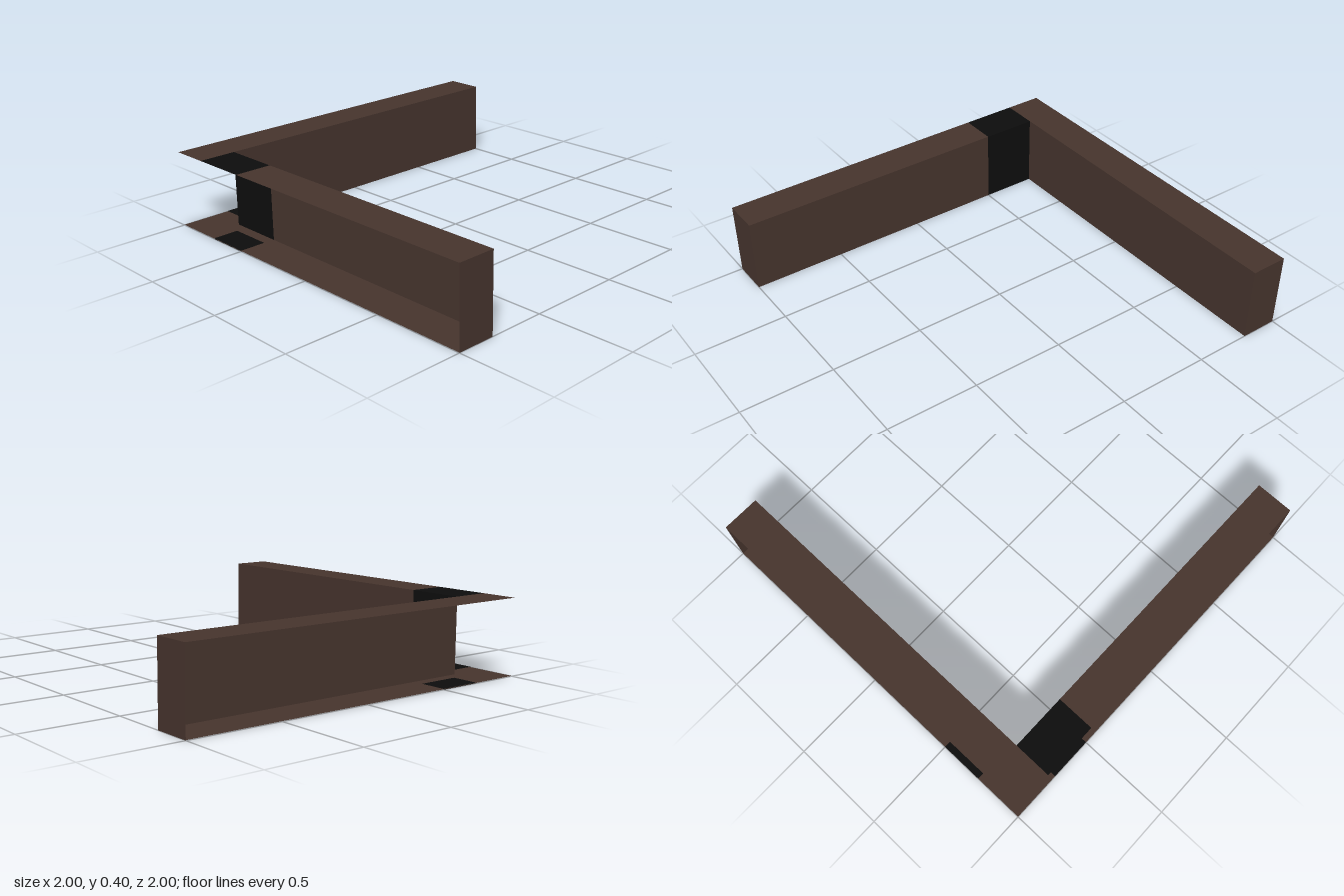
import * as THREE from 'three';

const H = 0.4, T = 0.2, SPLIT = -0.5;

export function createModel() {
  const model = new THREE.Group();
  model.name = 'cornerBeams';
  const brown = new THREE.MeshStandardMaterial({ color: 0x46342d, side: THREE.DoubleSide });
  brown.name = 'dark brown';
  const black = new THREE.MeshStandardMaterial({ color: 0x0d0d0d, side: THREE.DoubleSide });
  black.name = 'black';

  const add = (name, geo, mat, x, y, z) => {
    const m = new THREE.Mesh(geo, mat);
    m.name = name;
    m.position.set(x, y, z);
    model.add(m);
  };
  // Horizontal sheet facing up
  const sheet = (name, mat, x0, x1, z0, z1, y) =>
    add(name, new THREE.PlaneGeometry(x1 - x0, z1 - z0).rotateX(-Math.PI / 2), mat, (x0 + x1) / 2, y, (z0 + z1) / 2);
  // Upright sheets facing +z and +x
  const wallZ = (name, mat, x0, x1, z) =>
    add(name, new THREE.PlaneGeometry(x1 - x0, H), mat, (x0 + x1) / 2, H / 2, z);
  const wallX = (name, mat, z0, z1, x) =>
    add(name, new THREE.PlaneGeometry(z1 - z0, H).rotateY(Math.PI / 2), mat, x, H / 2, (z0 + z1) / 2);

  const inner = -1 + T;

  // Back beam: a channel open to the rear
  sheet('backBeamTop', brown, -1, 1, -1, inner, H);
  sheet('backBeamFloor', brown, -1, 1, -1, inner, 0.002);
  wallZ('backBeamInnerWall', brown, inner, 1, inner);
  wallX('backBeamEnd', brown, -1, inner, 1);

  // Side beam: a channel open to the outside
  sheet('sideBeamTop', brown, -1, inner, SPLIT, 1, H);
  sheet('sideBeamFloor', brown, -1, inner, inner, 1, 0.002);
  wallX('sideBeamInnerWall', brown, SPLIT, 1, inner);
  wallZ('sideBeamEnd', brown, -1, inner, 1);

  // Black joint between the beams
  sheet('jointTop', black, -1, inner, inner, SPLIT, H);
  wallX('jointInnerWall', black, inner, SPLIT, inner);

  // Black patches showing on both faces of the floor
  for (const y of [0, 0.004]) {
    sheet('backFloorPatch', black, -0.73, SPLIT, -1, -0.86, y);
    sheet('sideFloorPatch', black, -1, -0.86, -0.73, SPLIT, y);
  }
  return model;
}
